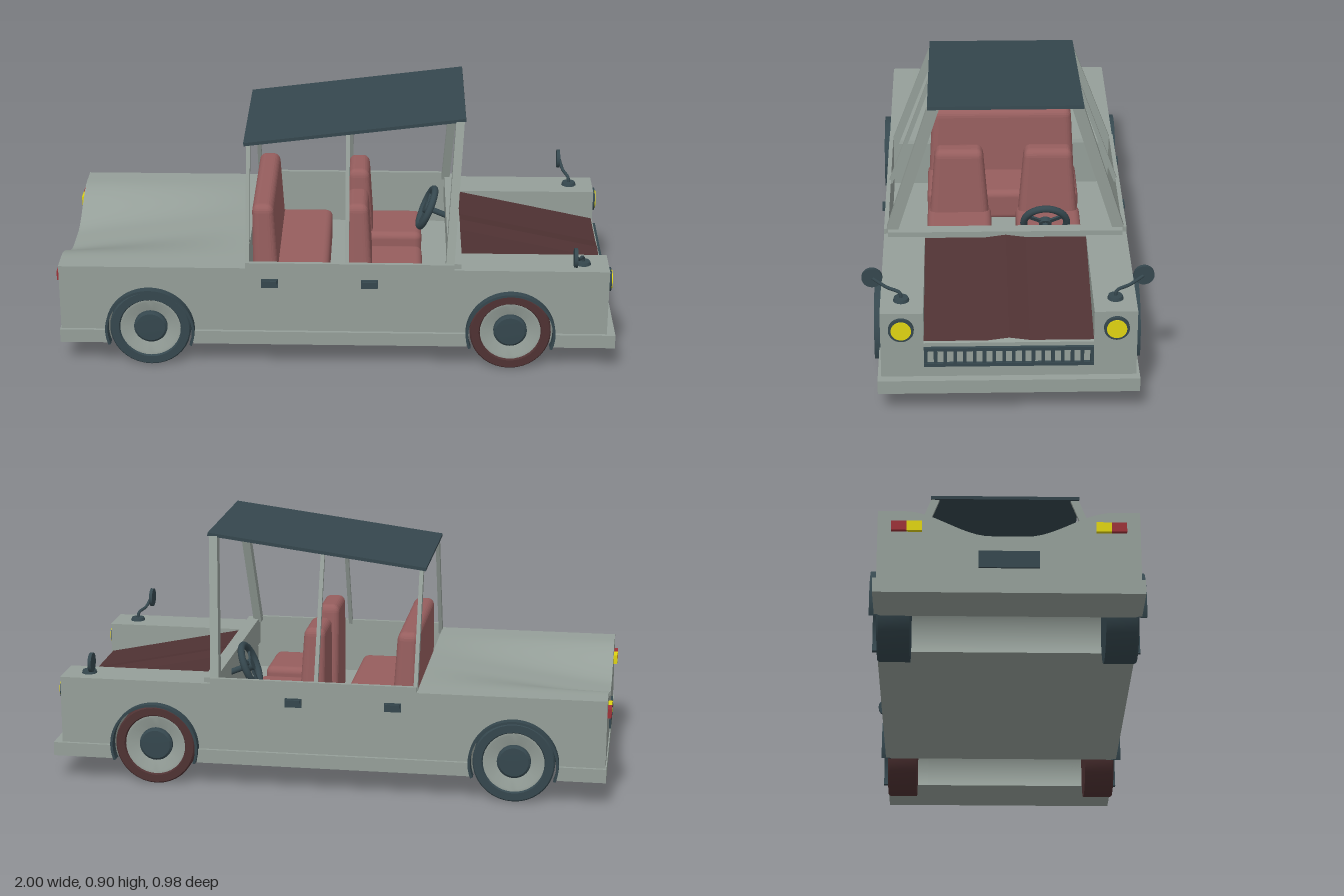
import * as THREE from 'three';
import { toCreasedNormals } from 'three/addons/utils/BufferGeometryUtils.js';
import { RoundedBoxGeometry } from 'three/addons/geometries/RoundedBoxGeometry.js';

const paint = (name, color) => {
  const m = new THREE.MeshStandardMaterial({ color });
  m.name = name;
  return m;
};

export function createModel() {
  const car = new THREE.Group();
  car.name = 'openCar';
  const grey = paint('greyBody', 0x959f99);
  const slate = paint('darkSlate', 0x35474e);
  const brown = paint('darkBrown', 0x4f3233);
  const rose = paint('roseSeats', 0x965e5e);
  const yellow = paint('yellowLamp', 0xe0d412);
  const red = paint('redLamp', 0x9c3238);
  const hoodPaint = paint('brownHood', 0x4f3233);
  const deckPaint = paint('greyDeck', 0x959f99);
  hoodPaint.side = deckPaint.side = THREE.DoubleSide;

  const add = (name, geo, mat, x = 0, y = 0, z = 0, parent = car) => {
    const m = new THREE.Mesh(geo, mat);
    m.name = name;
    m.position.set(x, y, z);
    parent.add(m);
    return m;
  };
  // box given by its limits
  const block = (name, mat, x0, x1, y0, y1, z0, z1) =>
    add(name, new THREE.BoxGeometry(x1 - x0, y1 - y0, z1 - z0), mat, (x0 + x1) / 2, (y0 + y1) / 2, (z0 + z1) / 2);
  const sides = [1, -1];
  const REAR = -0.665, FRONT = 0.625, AXLE = 0.145, ARCH = 0.155, BASE = 0.09;
  const dip = Math.asin((AXLE - BASE) / ARCH);

  // side outline with wheel arches cut from the lower edge, extruded across z0..z1
  const sidePanel = (name, x0, x1, arches, top, z0, z1) => {
    const s = new THREE.Shape();
    s.moveTo(x0, BASE);
    for (const cx of arches) {
      s.lineTo(cx - ARCH * Math.cos(dip), BASE);
      s.absarc(cx, AXLE, ARCH, Math.PI + dip, -dip, true);
    }
    s.lineTo(x1, BASE);
    top.forEach(([x, y]) => s.lineTo(x, y));
    const g = new THREE.ExtrudeGeometry(s, { depth: z1 - z0, bevelEnabled: false, curveSegments: 28 });
    add(name, toCreasedNormals(g, 0.5), grey, 0, 0, z0);
  };

  // main body: core with open cabin, outer sides and front fenders
  sidePanel('bodyCore', -0.98, 0.97, [REAR, FRONT], [[0.97, 0.27], [0.45, 0.378], [0.41, 0.378],
    [0.41, 0.2], [-0.32, 0.2], [-0.32, 0.37], [-0.98, 0.285]], -0.415, 0.415);
  for (const s of sides) {
    const zs = (a, b) => (s > 0 ? [a, b] : [-b, -a]);
    sidePanel('bodySide', -0.98, 0.97, [REAR, FRONT], [[0.97, 0.385], [0.42, 0.385], [0.42, 0.405],
      [-0.32, 0.405], [-0.32, 0.385], [-0.98, 0.385]], ...zs(0.415, 0.43));
    sidePanel('frontFender', 0.41, 0.97, [FRONT], [[0.97, 0.385], [0.41, 0.385]], ...zs(0.285, 0.415));
  }
  block('cowl', grey, 0.4, 0.445, 0.3, 0.403, -0.415, 0.415);

  // bumper and sill strip, broken at the arches
  [[-0.99, REAR - ARCH], [REAR + ARCH, FRONT - ARCH], [FRONT + ARCH, 1]].forEach(([a, b]) =>
    block('bumperSill', grey, a, b, BASE, 0.14, -0.442, 0.442));

  // rear deck with a hollow that deepens towards the tail
  const deckY = (x, z) => 0.386 - 0.09 * ((-0.32 - x) / 0.66) * (1 - THREE.MathUtils.smoothstep(Math.abs(z), 0.06, 0.34));
  const deck = new THREE.PlaneGeometry(0.66, 0.86, 8, 32).rotateX(-Math.PI / 2).translate(-0.65, 0, 0);
  const dp = deck.attributes.position;
  for (let i = 0; i < dp.count; i++) dp.setY(i, deckY(dp.getX(i), dp.getZ(i)));
  deck.computeVertexNormals();
  add('rearDeck', deck, deckPaint);
  const tail = new THREE.Shape();
  tail.moveTo(-0.43, BASE);
  tail.lineTo(0.43, BASE);
  for (let i = 0; i <= 32; i++) tail.lineTo(0.43 - 0.86 * i / 32, deckY(-0.98, 0.43 - 0.86 * i / 32));
  add('tailPanel', new THREE.ExtrudeGeometry(tail, { depth: 0.012, bevelEnabled: false }), grey, -0.986).rotation.y = Math.PI / 2;

  // sloping hood with a centre ridge
  const hood = new THREE.PlaneGeometry(0.515, 0.57, 1, 8).rotateX(-Math.PI / 2).translate(0.7075, 0, 0);
  const hp = hood.attributes.position;
  for (let i = 0; i < hp.count; i++) {
    const ridge = Math.abs(hp.getZ(i)) < 0.01 ? 0.01 : 0;
    hp.setY(i, 0.383 - 0.209 * (hp.getX(i) - 0.45) + ridge);
  }
  add('hood', toCreasedNormals(hood, 0.05), hoodPaint);

  // grille
  for (const y of [0.19, 0.25]) block('grilleRail', slate, 0.968, 0.982, y - 0.006, y + 0.006, -0.285, 0.285);
  for (let i = 0; i <= 17; i++) {
    const z = -0.279 + 0.558 * i / 17;
    block('grilleBar', slate, 0.968, 0.98, 0.19, 0.25, z - 0.006, z + 0.006);
  }

  // headlamps, tail lamps and plate
  const disc = (r, d) => new THREE.CylinderGeometry(r, r, d, 28).rotateZ(Math.PI / 2);
  for (const s of sides) {
    add('headlampRim', disc(0.043, 0.014), slate, 0.974, 0.325, s * 0.36);
    add('headlamp', disc(0.034, 0.008), yellow, 0.981, 0.325, s * 0.36);
    const lamp = new THREE.BoxGeometry(0.016, 0.034, 0.05);
    add('tailLampYellow', lamp, yellow, -0.992, 0.327, s * 0.31);
    add('tailLampRed', lamp, red, -0.992, 0.327, s * 0.36);
  }
  block('rearPlate', slate, -0.993, -0.98, 0.18, 0.24, -0.1, 0.1);

  // wheels with arch trims; front tyres are brown, rear ones slate
  const lathe = (pts) => toCreasedNormals(new THREE.LatheGeometry(pts.map(p => new THREE.Vector2(...p)), 36), 0.5).rotateX(Math.PI / 2);
  const tyre = lathe([[0, -0.055], [0.145, -0.055], [0.145, 0.049], [0.14, 0.055], [0.113, 0.055], [0.107, 0.045]]);
  const rim = lathe([[0.11, 0.048], [0.1, 0.048], [0.064, 0.03], [0, 0.03]]);
  const hub = lathe([[0.06, 0.02], [0.06, 0.042], [0.052, 0.048], [0, 0.05]]);
  const arc = new THREE.Shape();
  arc.absarc(0, 0, 0.16, -dip, Math.PI + dip, false);
  arc.absarc(0, 0, 0.151, Math.PI + dip, -dip, true);
  const trim = toCreasedNormals(new THREE.ExtrudeGeometry(arc, { depth: 0.036, bevelEnabled: false, curveSegments: 28 }), 0.5);
  for (const x of [REAR, FRONT]) for (const s of sides) {
    const w = new THREE.Group();
    w.name = x > 0 ? 'frontWheel' : 'rearWheel';
    w.position.set(x, AXLE, s * 0.38);
    if (s < 0) w.rotation.y = Math.PI;
    add('tyre', tyre, x > 0 ? brown : slate, 0, 0, 0, w);
    add('rim', rim, grey, 0, 0, 0, w);
    add('hub', hub, slate, 0, 0, 0, w);
    add('archTrim', trim, slate, 0, 0, 0.043, w);
    car.add(w);
  }

  // roof and its leaning pillars
  add('roof', new THREE.BoxGeometry(0.792, 0.012, 0.54), slate, 0.0625, 0.842, 0).rotation.z = 0.127;
  const pillar = (name, [x0, y0, z0], [x1, y1, z1], wx, wz) => {
    const g = new THREE.BoxGeometry(wx, y1 - y0, wz);
    const p = g.attributes.position;
    for (let i = 0; i < p.count; i++) if (p.getY(i) > 0) p.setXYZ(i, p.getX(i) + x1 - x0, p.getY(i), p.getZ(i) + z1 - z0);
    g.computeVertexNormals();
    add(name, g, grey, x0, (y0 + y1) / 2, z0);
  };
  for (const s of sides) {
    pillar('frontPillar', [0.405, 0.39, s * 0.404], [0.435, 0.886, s * 0.25], 0.03, 0.042);
    pillar('middlePillar', [0.04, 0.39, s * 0.418], [0.04, 0.837, s * 0.255], 0.014, 0.016);
    pillar('rearPillar', [-0.314, 0.37, s * 0.412], [-0.314, 0.792, s * 0.252], 0.014, 0.03);
  }

  // seats: rounded backs that narrow upwards, with cushions
  const seat = (x, z, width, taper) => {
    const back = new RoundedBoxGeometry(0.09, 0.37, width, 3, 0.028);
    const p = back.attributes.position;
    for (let i = 0; i < p.count; i++) {
      const t = p.getY(i) / 0.37 + 0.5;
      p.setX(i, p.getX(i) * (1.1 - 0.25 * t) - 0.012 * t);
      p.setZ(i, p.getZ(i) * (1 - taper * t));
    }
    back.computeVertexNormals();
    add('seatBack', back, rose, x, 0.367, z);
    add('seatCushion', new RoundedBoxGeometry(0.25, 0.12, width, 3, 0.025), rose, x + 0.1, 0.25, z);
  };
  seat(-0.255, 0, 0.565, 0.07);
  for (const s of sides) seat(0.085, s * 0.163, 0.235, 0.26);

  // steering wheel
  const steer = new THREE.Group();
  steer.name = 'steeringWheel';
  steer.position.set(0.33, 0.375, -0.145);
  steer.rotation.z = -0.4;
  add('wheelRing', new THREE.TorusGeometry(0.077, 0.013, 10, 32).rotateY(Math.PI / 2), slate, 0, 0, 0, steer);
  add('wheelHub', disc(0.022, 0.02), slate, 0, 0, 0, steer);
  add('column', disc(0.011, 0.1), slate, 0.05, 0, 0, steer);
  for (let i = 0; i < 3; i++) {
    const spoke = new THREE.BoxGeometry(0.008, 0.075, 0.014).translate(0, -0.038, 0);
    add('spoke', spoke.rotateX(i * Math.PI * 2 / 3), slate, 0, 0, 0, steer);
  }
  car.add(steer);

  // door handles and fender mirrors
  for (const s of sides) {
    for (const x of [-0.235, 0.12]) {
      add('handlePlate', new THREE.BoxGeometry(0.06, 0.032, 0.008), slate, x, 0.328, s * 0.432);
      add('handle', new THREE.BoxGeometry(0.05, 0.012, 0.014), slate, x, 0.335, s * 0.439);
    }
    const path = new THREE.CatmullRomCurve3([[0.88, 0.385, 0.36], [0.878, 0.412, 0.364], [0.86, 0.425, 0.41], [0.848, 0.452, 0.455]]
      .map(([x, y, z]) => new THREE.Vector3(x, y, s * z)));
    add('mirrorStalk', new THREE.TubeGeometry(path, 16, 0.006, 8), slate);
    add('mirrorBase', new THREE.CylinderGeometry(0.024, 0.028, 0.012, 20), slate, 0.88, 0.39, s * 0.36);
    add('mirror', disc(0.035, 0.012), slate, 0.844, 0.453, s * 0.457);
  }
  return car;
}
